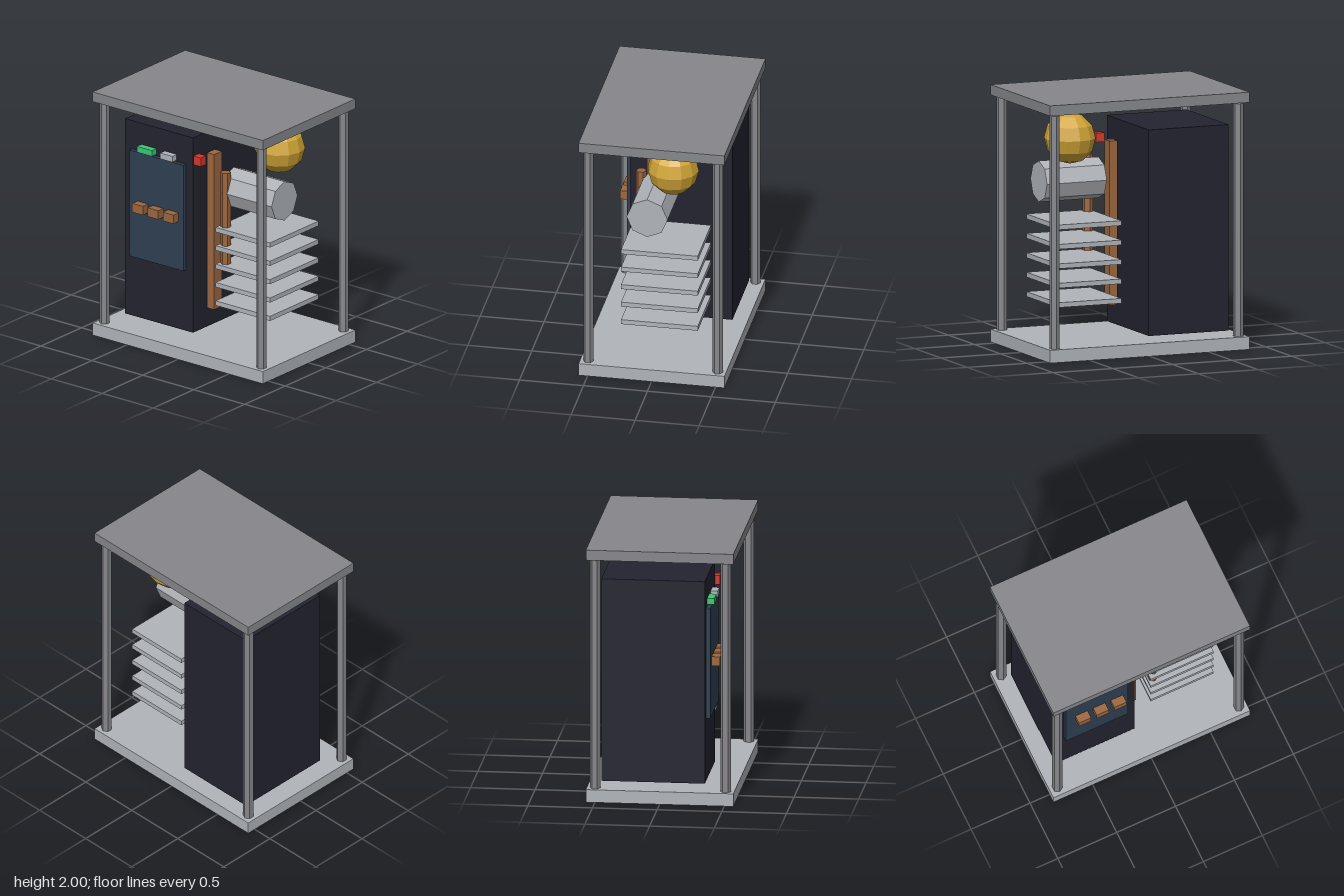
import * as THREE from 'three';

export function createModel() {
  const model = new THREE.Group();
  model.name = 'workCell';

  const mat = (name, color) => {
    const m = new THREE.MeshStandardMaterial({ color, flatShading: true });
    m.name = name;
    return m;
  };
  const lightGrey = mat('lightGrey', 0xb0b4b9);
  const midGrey = mat('midGrey', 0x86878b);
  const darkNavy = mat('darkNavy', 0x232330);
  const slateBlue = mat('slateBlue', 0x2e3f52);
  const copper = mat('copper', 0x9c673f);
  const gold = mat('gold', 0xd0a436);
  const green = mat('green', 0x3bc873);
  const red = mat('red', 0xd4372f);

  const add = (name, geometry, material, x, y, z) => {
    const mesh = new THREE.Mesh(geometry, material);
    mesh.name = name;
    mesh.position.set(x, y, z);
    model.add(mesh);
    return mesh;
  };
  // Box given by its lower and upper limits on each axis
  const box = (name, material, [x0, x1], [y0, y1], [z0, z1]) =>
    add(name, new THREE.BoxGeometry(x1 - x0, y1 - y0, z1 - z0), material,
      (x0 + x1) / 2, (y0 + y1) / 2, (z0 + z1) / 2);

  // Frame: base, roof and four hexagonal posts
  box('base', lightGrey, [-0.835, 0.835], [0, 0.1], [-0.57, 0.57]);
  box('roof', midGrey, [-0.835, 0.835], [1.92, 2], [-0.57, 0.57]);
  for (const sx of [-1, 1]) {
    for (const sz of [-1, 1]) {
      add('post', new THREE.CylinderGeometry(0.04, 0.04, 1.81, 6), midGrey, sx * 0.77, 1.005, sz * 0.505);
    }
  }

  // Cabinet with its front panel, lamps and knobs
  box('cabinet', darkNavy, [-0.705, -0.037], [0.14, 1.742], [-0.465, 0.335]);
  box('frontPanel', slateBlue, [-0.635, -0.105], [0.64, 1.51], [0.33, 0.37]);
  box('greenLamp', green, [-0.545, -0.397], [1.52, 1.568], [0.325, 0.39]);
  box('greyLamp', lightGrey, [-0.315, -0.197], [1.52, 1.568], [0.325, 0.39]);
  for (let i = 0; i < 3; i++) {
    const x = -0.502 + i * 0.15;
    box('knob', copper, [x - 0.052, x + 0.052], [1.038, 1.11], [0.368, 0.435]);
  }

  // Bar, rod and red block beside the cabinet
  box('bar', copper, [-0.02, 0.05], [0.305, 1.58], [0.09, 0.185]);
  add('rod', new THREE.CylinderGeometry(0.04, 0.04, 0.8, 6), copper, 0.18, 1.075, 0.205);
  box('redBlock', red, [-0.005, 0.067], [1.54, 1.612], [0.305, 0.37]);

  // Stack of shelves
  for (let i = 0; i < 5; i++) {
    const y = 0.405 + i * 0.151;
    box('shelf', lightGrey, [0.133, 0.667], [y - 0.019, y + 0.019], [-0.33, 0.27]);
  }

  // Eight-sided drum lying on its side, and the ball above it
  add('drum', new THREE.CylinderGeometry(0.16, 0.16, 0.5, 8), lightGrey, 0.4, 1.308, 0.07).rotation.z = Math.PI / 2;
  add('ball', new THREE.SphereGeometry(0.2, 12, 6), gold, 0.465, 1.66, -0.1);

  return model;
}
